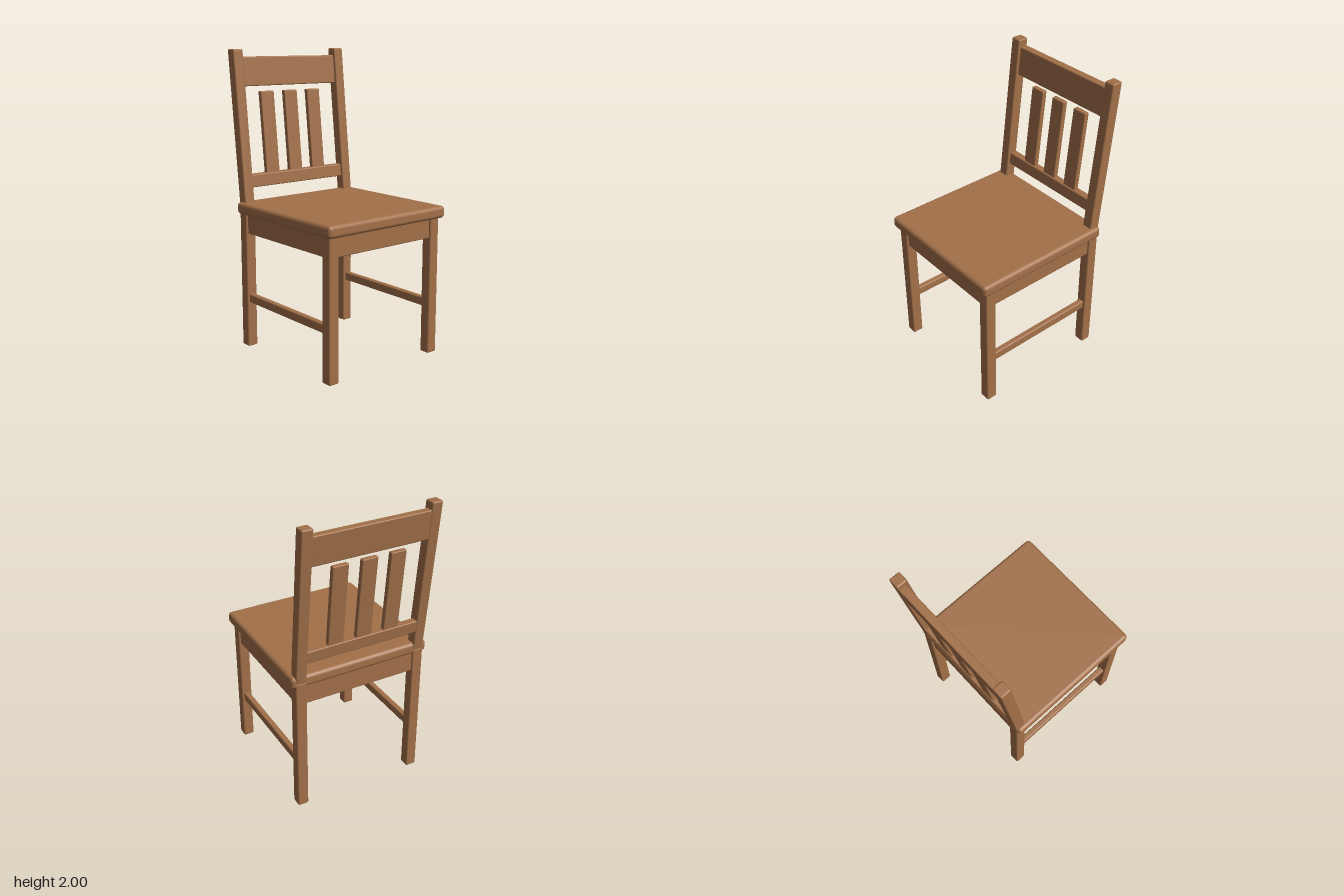
import * as THREE from 'three';
import { RoundedBoxGeometry } from 'three/addons/geometries/RoundedBoxGeometry.js';

export function createModel() {
  const chair = new THREE.Group();
  chair.name = 'chair';
  const wood = new THREE.MeshStandardMaterial({ color: 0xa27049 });
  wood.name = 'warmWood';

  // Softened timber spanning the given [min, max] ranges
  const timber = (name, [x0, x1], [y0, y1], [z0, z1], radius = 0.01, matrix = null) => {
    const geo = new RoundedBoxGeometry(x1 - x0, y1 - y0, z1 - z0, 3, radius);
    geo.translate((x0 + x1) / 2, (y0 + y1) / 2, (z0 + z1) / 2);
    if (matrix) geo.applyMatrix4(matrix);
    const mesh = new THREE.Mesh(geo, wood);
    mesh.name = name;
    chair.add(mesh);
    return mesh;
  };
  const mirrored = (side, [a, b]) => (side > 0 ? [a, b] : [-b, -a]);

  // Backrest leans backwards as it rises, keeping its ends level
  const lean = new THREE.Matrix4().set(
    1, 0, 0, 0,
    0, 1, 0, 0,
    0, -0.106, 1, 0.106 - 0.402,
    0, 0, 0, 1
  );

  // Seat
  timber('seat', [-0.488, 0.488], [0.92, 1.0], [-0.434, 0.543], 0.025);

  // Legs, posts, side aprons and side stretchers
  for (const side of [1, -1]) {
    const tag = side > 0 ? 'left' : 'right';
    const legX = mirrored(side, [0.387, 0.461]);
    timber(tag + 'FrontLeg', legX, [0, 0.93], [0.435, 0.509]);
    timber(tag + 'BackLeg', legX, [0, 0.955], [-0.436, -0.362]);
    timber(tag + 'BackPost', legX, [0.95, 2.0], [-0.037, 0.037], 0.01, lean);
    timber(tag + 'SideApron', mirrored(side, [0.403, 0.447]), [0.79, 0.93], [-0.37, 0.443], 0.006);
    timber(tag + 'SideStretcher', mirrored(side, [0.404, 0.444]), [0.31, 0.37], [-0.37, 0.443], 0.009);
  }

  // Front and back aprons
  const spanX = [-0.395, 0.395];
  timber('frontApron', spanX, [0.79, 0.93], [0.451, 0.495], 0.006);
  timber('backApron', spanX, [0.79, 0.93], [-0.422, -0.378], 0.006);

  // Backrest rails and slats
  timber('topRail', spanX, [1.757, 1.95], [-0.034, 0.018], 0.008, lean);
  timber('lowerRail', spanX, [1.09, 1.176], [-0.034, 0.018], 0.008, lean);
  for (const x of [-0.198, -0.003, 0.193]) {
    timber('backSlat', [x - 0.053, x + 0.053], [1.165, 1.72], [-0.026, 0.009], 0.006, lean);
  }
  return chair;
}
